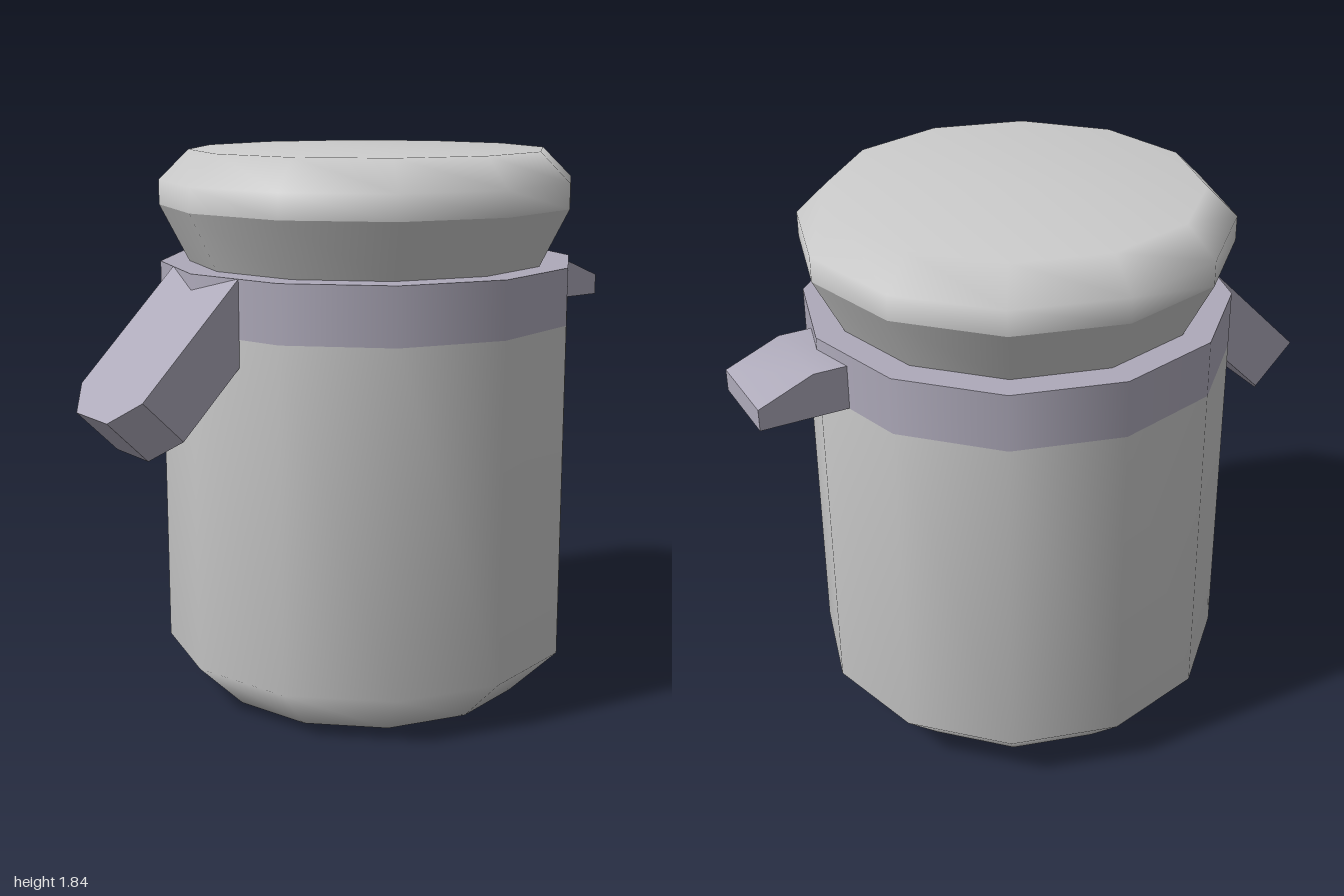
import * as THREE from 'three';
import { toCreasedNormals } from 'three/addons/utils/BufferGeometryUtils.js';

const CENTRE_Z = -0.056;

export function createModel() {
  const model = new THREE.Group();
  model.name = 'canister';

  const paleGrey = new THREE.MeshStandardMaterial({ color: 0xcccccc });
  paleGrey.name = 'pale grey';
  const mauveGrey = new THREE.MeshStandardMaterial({ color: 0xaeaaba });
  mauveGrey.name = 'mauve grey';

  const add = (name, geometry, material) => {
    const mesh = new THREE.Mesh(geometry, material);
    mesh.name = name;
    model.add(mesh);
    return mesh;
  };

  // Twelve-sided turned part from [radius, height] points, bottom to top
  const turned = (name, profile, material) => {
    const points = profile.map(([r, y]) => new THREE.Vector2(r, y));
    add(name, new THREE.LatheGeometry(points, 12), material).position.z = CENTRE_Z;
  };

  // Drum with a bevelled foot, and the band around its top
  turned('body', [[0, 0], [0.533, 0], [0.695, 0.16], [0.695, 1.283]], paleGrey);
  turned('band', [[0.695, 1.283], [0.695, 1.47]], mauveGrey);
  turned('bandTop', [[0.695, 1.47], [0.5, 1.47]], mauveGrey);

  // Lid: flared neck below a bevelled cap
  turned('lidNeck', [[0.597, 1.465], [0.695, 1.657]], paleGrey);
  turned('lidCap', [[0.695, 1.657], [0.695, 1.738], [0.595, 1.836], [0, 1.836]], paleGrey);

  // Front latch: plan outline with clipped corners, laid on a 45 degree slope
  const back = 0.588, thick = 0.137;
  const outline = new THREE.Shape([
    [-0.194, back], [0.194, back], [0.194, 0.93], [0.098, 1], [-0.098, 1], [-0.194, 0.93],
  ].map(([x, z]) => new THREE.Vector2(x, z)));
  const latch = new THREE.ExtrudeGeometry(outline, { depth: 1, bevelEnabled: false });
  const p = latch.attributes.position;
  for (let i = 0; i < p.count; i++) {
    const x = p.getX(i), z = p.getY(i), under = p.getZ(i) < 0.5;
    const y = 1.47 - (z - back);
    // The back end is cut upright against the drum; the rest is square to the slope
    if (!under) p.setXYZ(i, x, y, z);
    else if (z < back + 0.01) p.setXYZ(i, x, y - 2 * thick, z);
    else p.setXYZ(i, x, y - thick, z - thick);
  }
  // Laying the outline down mirrors it, so each triangle is turned round
  for (let i = 0; i < p.count; i += 3) {
    const a = new THREE.Vector3().fromBufferAttribute(p, i + 1);
    const b = new THREE.Vector3().fromBufferAttribute(p, i + 2);
    p.setXYZ(i + 1, b.x, b.y, b.z);
    p.setXYZ(i + 2, a.x, a.y, a.z);
  }
  latch.computeVertexNormals();
  add('frontLatch', latch, mauveGrey);

  // Back tab: side outline (distance behind centre, height) with a sloping tip
  const side = new THREE.Shape([
    [0.66, 1.284], [1, 1.284], [1, 1.355], [0.82, 1.43], [0.66, 1.43],
  ].map(([d, y]) => new THREE.Vector2(d, y)));
  const tab = new THREE.ExtrudeGeometry(side, { depth: 0.29, bevelEnabled: false });
  tab.translate(0, 0, -0.145).rotateY(Math.PI / 2);
  add('backTab', toCreasedNormals(tab, 0.6), mauveGrey);

  return model;
}
